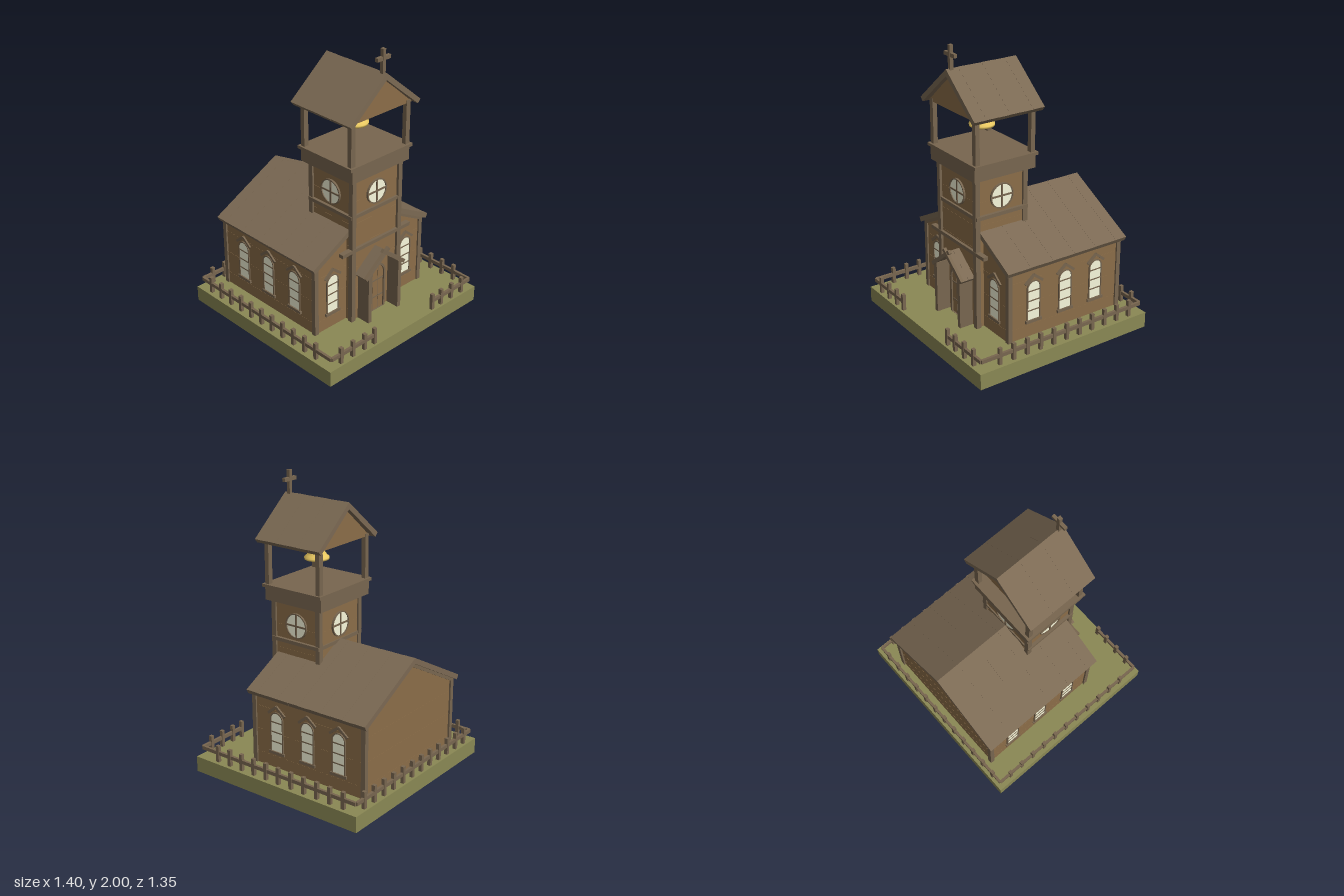
import * as THREE from 'three';

const mat = (color, side = THREE.FrontSide) => new THREE.MeshStandardMaterial({ color, side });
const WALL = mat(0x8b6d48), TRIM = mat(0x78664f), ROOF = mat(0x7b6953), GRASS = mat(0x8a8854, THREE.DoubleSide);
const GLASS = mat(0xf8f8dc), BELL = mat(0xebca62, THREE.DoubleSide);

const GROUND = 0.11, TZ = 0.18; // lawn level, tower centre in z

function add(parent, name, geometry, material, x = 0, y = 0, z = 0) {
  const m = new THREE.Mesh(geometry, material);
  m.name = name;
  m.position.set(x, y, z);
  parent.add(m);
  return m;
}

// Box given by its extents on each axis
const box = (parent, name, material, x0, x1, y0, y1, z0, z1) =>
  add(parent, name, new THREE.BoxGeometry(x1 - x0, y1 - y0, z1 - z0), material,
    (x0 + x1) / 2, (y0 + y1) / 2, (z0 + z1) / 2);

const poly = pts => new THREE.Shape(pts.map(p => new THREE.Vector2(...p)));
const extrude = (shape, depth) =>
  new THREE.ExtrudeGeometry(shape, { depth, bevelEnabled: false, curveSegments: 12 });

function group(parent, name) {
  const g = new THREE.Group();
  g.name = name;
  parent.add(g);
  return g;
}

// Gable roof: n boards per slope, laid side by side along z
function gableRoof(parent, name, material, hw, eave, ridge, t, z0, z1, n = 1) {
  const g = group(parent, name);
  const a = Math.atan2(ridge - eave, hw), step = (z1 - z0) / n;
  for (const s of [-1, 1]) for (let i = 0; i < n; i++) {
    const k = (i % 2) * 0.001;
    const pts = [[0, ridge - k], [0, ridge - t / Math.cos(a)],
      [s * (hw - t * Math.sin(a)), eave - t * Math.cos(a)], [s * hw, eave - k]];
    add(g, name + 'Board', extrude(poly(pts), step), material, 0, 0, z0 + i * step);
  }
}

// Wall block of horizontal plank courses
function plankBlock(parent, name, hx, y0, y1, z0, z1, n) {
  const g = group(parent, name), h = (y1 - y0) / n;
  for (let i = 0; i < n; i++) {
    const k = (i % 2) * 0.001;
    box(g, 'plankCourse', WALL, -hx + k, hx - k, y0 + i * h, y0 + (i + 1) * h, z0 + k, z1 - k);
  }
}

function arch(r, y0, spring, PathType = THREE.Shape) {
  const p = new PathType();
  p.moveTo(-r, y0);
  p.lineTo(r, y0);
  p.lineTo(r, spring);
  p.absarc(0, spring, r, 0, Math.PI, false);
  p.closePath();
  return p;
}

// Board leaning at an angle in the xy plane
function slant(parent, name, x, y, z, length, h, d, angle) {
  add(parent, name, new THREE.BoxGeometry(length, h, d), TRIM, x, y, z).rotation.z = angle;
}

// Arched window facing +z, origin at the middle of the bottom edge
function archWindow(parent, x, z, turn) {
  const g = group(parent, 'archedWindow');
  g.position.set(x, 0.23, z);
  g.rotation.y = turn;
  add(g, 'pane', extrude(arch(0.047, 0, 0.23), 0.004), GLASS);
  const frame = arch(0.054, 0, 0.23);
  frame.holes.push(arch(0.046, 0.001, 0.23, THREE.Path));
  add(g, 'windowFrame', extrude(frame, 0.009), TRIM);
  for (const y of [0.07, 0.14, 0.21]) box(g, 'glazingBar', TRIM, -0.047, 0.047, y - 0.004, y + 0.004, 0, 0.007);
  box(g, 'sill', TRIM, -0.064, 0.064, -0.018, 0.002, 0, 0.014);
  for (const s of [-1, 1]) slant(g, 'hood', s * 0.034, 0.296, 0.006, 0.09, 0.018, 0.012, -s * 0.68);
}

// Round window facing +z with a ring frame and crossed bars
function roundWindow(parent, x, z, turn) {
  const g = group(parent, 'roundWindow');
  g.position.set(x, 1.02, z);
  g.rotation.y = turn;
  add(g, 'pane', new THREE.CylinderGeometry(0.082, 0.082, 0.006, 32), GLASS, 0, 0, 0.003).rotation.x = Math.PI / 2;
  const ring = new THREE.Shape().absarc(0, 0, 0.088, 0, Math.PI * 2);
  ring.holes.push(new THREE.Path().absarc(0, 0, 0.08, 0, Math.PI * 2));
  add(g, 'windowFrame', extrude(ring, 0.013), TRIM);
  box(g, 'glazingBar', TRIM, -0.082, 0.082, -0.006, 0.006, 0, 0.011);
  box(g, 'glazingBar', TRIM, -0.006, 0.006, -0.082, 0.082, 0, 0.011);
}

// Lawn slab: an open-bottomed shell
function buildLawn(root) {
  const geo = new THREE.BoxGeometry(1.4, GROUND, 1.35);
  const index = Array.from(geo.index.array);
  index.splice(18, 6); // drop the underside
  geo.setIndex(index);
  geo.clearGroups();
  add(root, 'lawn', geo, GRASS, 0, GROUND / 2, 0);
}

function buildHall(root) {
  const g = group(root, 'hall');
  plankBlock(g, 'hallWalls', 0.495, GROUND, 0.61, -0.585, 0.32, 6);
  const gable = poly([[-0.495, 0.6], [0.495, 0.6], [0.495, 0.615], [0, 0.88], [-0.495, 0.615]]);
  add(g, 'hallGable', extrude(gable, 0.905), WALL, 0, 0, -0.585);
  gableRoof(g, 'hallRoof', ROOF, 0.537, 0.632, 0.918, 0.035, -0.615, 0.35, 11);
  for (const z of [-0.595, 0.318]) gableRoof(g, 'bargeBoard', TRIM, 0.5, 0.615, 0.88, 0.024, z, z + 0.012);
  for (const s of [-1, 1]) {
    for (const z of [-0.597, 0.298]) box(g, 'cornerPost', TRIM, s * 0.49 - 0.016, s * 0.49 + 0.016, GROUND, 0.612, z, z + 0.032);
    archWindow(g, s * 0.343, 0.32, 0);
    for (const z of [0.125, -0.132, -0.386]) archWindow(g, s * 0.495, z, s * Math.PI / 2);
  }
}

function buildTower(root) {
  const g = group(root, 'tower');
  plankBlock(g, 'towerWalls', 0.215, GROUND, 1.17, -0.01, 0.37, 13);
  for (const s of [-1, 1]) {
    const x = s * 0.211;
    box(g, 'cornerPost', TRIM, x - 0.017, x + 0.017, GROUND, 1.17, 0.352, 0.387);
    box(g, 'cornerPost', TRIM, x - 0.017, x + 0.017, 0.78, 1.17, -0.02, 0.015);
  }
  box(g, 'beltCourse', TRIM, -0.235, 0.235, 0.89, 0.915, -0.018, 0.383);
  box(g, 'crossBeam', TRIM, -0.315, 0.315, 0.645, 0.67, 0.352, 0.389);
  for (let i = 0; i < 4; i++) {
    const a = i * Math.PI / 2;
    roundWindow(g, 0.215 * Math.sin(a), TZ + 0.19 * Math.cos(a), a);
  }

  // Belfry deck, posts and roof
  box(g, 'belfryBand', TRIM, -0.258, 0.258, 1.17, 1.265, -0.058, 0.412);
  box(g, 'belfryDeck', TRIM, -0.278, 0.278, 1.262, 1.283, -0.067, 0.422);
  for (const x of [-0.245, 0.245]) for (const z of [-0.034, 0.39])
    box(g, 'belfryPost', TRIM, x - 0.018, x + 0.018, 1.28, 1.59, z - 0.016, z + 0.016);
  add(g, 'belfryGable', extrude(poly([[-0.275, 1.57], [0.275, 1.57], [0, 1.81]]), 0.45), WALL, 0, 0, -0.046);
  gableRoof(g, 'belfryRoof', ROOF, 0.313, 1.59, 1.85, 0.035, -0.086, 0.443, 6);

  // Bell with clapper
  const profile = [[0, 1.58], [0.025, 1.575], [0.035, 1.555], [0.042, 1.52], [0.052, 1.485],
    [0.07, 1.46], [0.085, 1.447], [0.083, 1.433], [0.07, 1.436], [0.045, 1.48], [0, 1.55]];
  add(g, 'bell', new THREE.LatheGeometry(profile.map(p => new THREE.Vector2(...p)).reverse(), 32), BELL, 0, 0, TZ);
  add(g, 'clapper', new THREE.SphereGeometry(0.018, 16, 12), BELL, 0, 1.441, TZ);
  add(g, 'clapperRod', new THREE.CylinderGeometry(0.005, 0.005, 0.11, 8), BELL, 0, 1.5, TZ);

  // Cross on the ridge
  box(g, 'crossUpright', TRIM, -0.012, 0.012, 1.82, 2, 0.395, 0.42);
  box(g, 'crossArm', TRIM, -0.058, 0.058, 1.925, 1.95, 0.396, 0.419);
}

function buildPorch(root) {
  const g = group(root, 'porch');
  // Arched door with frame and plank battens
  add(g, 'door', extrude(arch(0.075, GROUND, 0.385), 0.008), WALL, 0, 0, 0.37);
  const frame = arch(0.088, GROUND, 0.385);
  frame.holes.push(arch(0.073, GROUND + 0.001, 0.385, THREE.Path));
  add(g, 'doorFrame', extrude(frame, 0.018), TRIM, 0, 0, 0.37);
  for (const x of [-0.025, 0.025]) box(g, 'doorSeam', TRIM, x - 0.002, x + 0.002, GROUND, 0.45, 0.37, 0.379);
  for (const y of [0.21, 0.34]) box(g, 'doorBatten', TRIM, -0.073, 0.073, y - 0.005, y + 0.005, 0.37, 0.381);

  // Side posts, roof and crossed front boards
  const a = Math.atan2(0.145, 0.185);
  gableRoof(g, 'porchRoof', ROOF, 0.185, 0.467, 0.612, 0.024, 0.365, 0.474, 2);
  for (const s of [-1, 1]) {
    box(g, 'porchPost', TRIM, s * 0.14 - 0.015, s * 0.14 + 0.015, GROUND, 0.478, 0.37, 0.47);
    slant(g, 'crossedBoard', s * 0.073, 0.539, 0.464 + s * 0.002, 0.265, 0.026, 0.022, -s * a);
  }
}

function buildFence(root) {
  const g = group(root, 'fence'), X = 0.664, Z = 0.647, P = 0.1055;
  const rail = (x0, x1, z0, z1) => box(g, 'fenceRail', TRIM, x0, x1, 0.162, 0.187, z0, z1);
  const picket = (x, z) => box(g, 'fencePicket', TRIM, x - 0.012, x + 0.012, GROUND, 0.228, z - 0.012, z + 0.012);
  rail(-X, X, -Z - 0.009, -Z + 0.009);
  for (const s of [-1, 1]) {
    rail(s * X - 0.009, s * X + 0.009, -Z, Z);
    for (let i = 0; i < 11; i++) picket(s * X, -0.55 + i * P);
    for (let i = 0; i < 6; i++) picket(s * (i + 0.5) * P, -Z);
    // Front run stops at the gate opening
    rail(Math.min(s * X, s * 0.27), Math.max(s * X, s * 0.27), Z - 0.009, Z + 0.009);
    for (const x of [0.28, 0.37, 0.475, 0.58]) picket(s * x, Z);
  }
}

export function createModel() {
  const root = new THREE.Group();
  root.name = 'woodenChapel';
  buildLawn(root);
  buildHall(root);
  buildTower(root);
  buildPorch(root);
  buildFence(root);
  return root;
}
